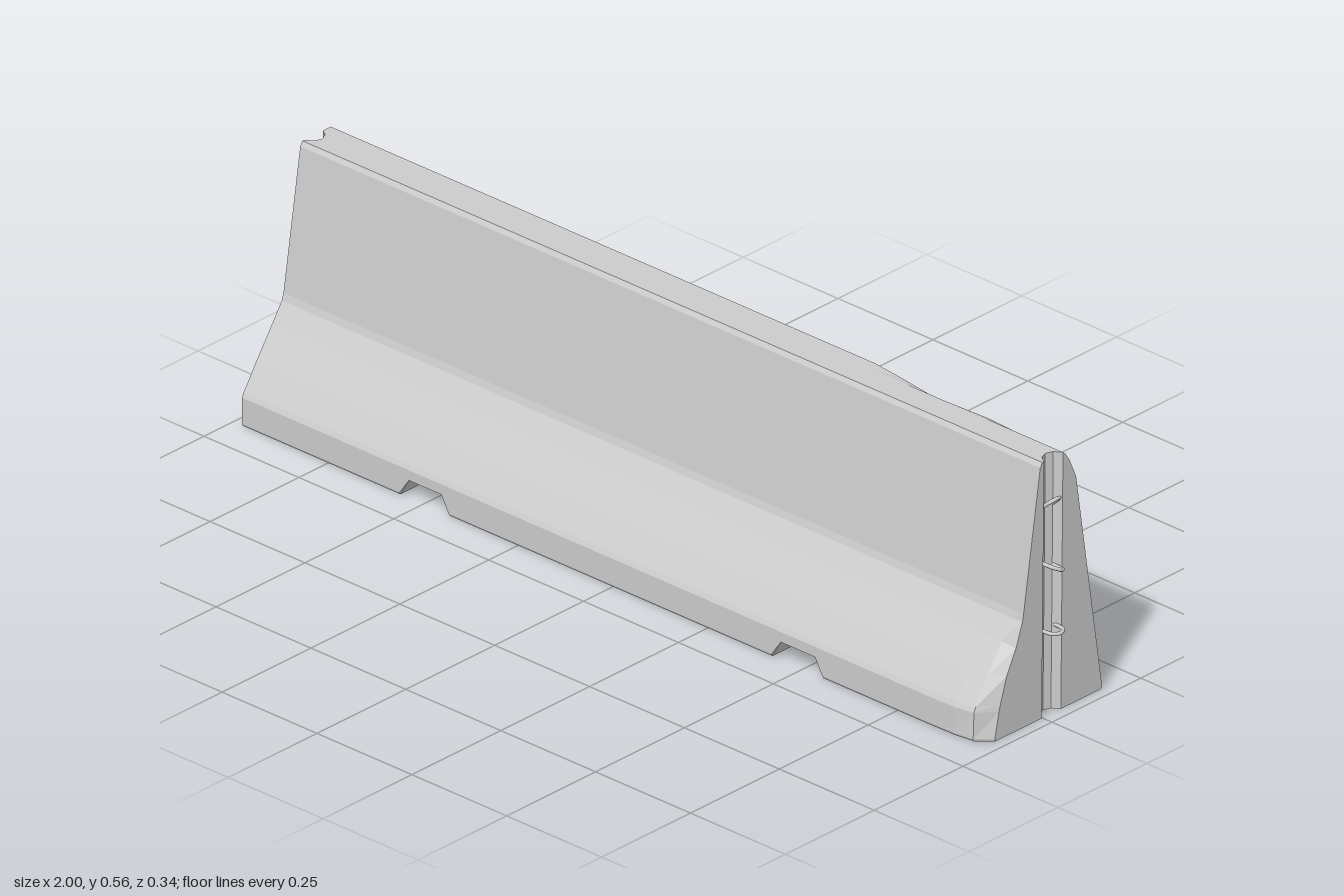
import * as THREE from 'three';

const END = 0.975;

// Piecewise-linear lookup through [x, value] pairs
function ramp(x, pts) {
  if (x <= pts[0][0]) return pts[0][1];
  for (let i = 1; i < pts.length; i++) {
    const [x0, v0] = pts[i - 1], [x1, v1] = pts[i];
    if (x <= x1) return v0 + (v1 - v0) * (x - x0) / (x1 - x0);
  }
  return pts[pts.length - 1][1];
}

// Cross-section points as [z, y]; the chipped versions are blended in near +x
const grooveT = [0, 0.2, 0.5, 0.8, 1];
const grooveDepth = [0, 0.016, 0.022, 0.016, 0];
const front = [[0.167, 0], [0.17, 0.005], [0.17, 0.062], [0.165, 0.072],
  [0.13, 0.125], [0.085, 0.19], [0.058, 0.23], [0.053, 0.245], [0.006, 0.545], [0, 0.555]];
const frontChipped = [[0.132, 0], [0.134, 0.005], [0.122, 0.06], [0.118, 0.075],
  [0.1, 0.13], [0.074, 0.18], [0.056, 0.23], [0.053, 0.245], [0.006, 0.545], [0, 0.555]];
const back = [[-0.08, 0.555], [-0.087, 0.546], [-0.0955, 0.49], [-0.168, 0.005], [-0.165, 0]];
const backChipped = [[-0.062, 0.547], [-0.074, 0.527], [-0.0945, 0.49], [-0.168, 0.005], [-0.165, 0]];
const NF = front.length, NG = grooveT.length;

// Drainage slots, corner chip and top-edge chip along the length
const slots = [[-0.56, 0], [-0.535, 0.04], [-0.45, 0.04], [-0.43, 0],
  [0.42, 0], [0.445, 0.04], [0.535, 0.04], [0.555, 0]];
const cornerChip = [[0.83, 0], [0.9, 0.04], [0.945, 0.2], [END, 1]];
const topChip = [[0.46, 0], [0.54, 0.35], [0.66, 1], [0.77, 0.6], [0.88, 0.85], [END, 0.8]];

const mix = (a, b, t) => a.map((p, i) => [p[0] + (b[i][0] - p[0]) * t, p[1] + (b[i][1] - p[1]) * t]);

// Closed ring: bottom groove points, front, top groove points, back
function section(x) {
  const lift = ramp(x, slots), end = Math.abs(x) === END;
  const bottomG = grooveT.map((t) => [0.002 - 0.054 * t, 0]).reverse();
  const topG = grooveT.map((t) => [-0.005 - 0.053 * t, 0.555]);
  const ring = [...bottomG, ...mix(front, frontChipped, ramp(x, cornerChip)),
    ...topG, ...mix(back, backChipped, ramp(x, topChip))];
  return ring.map(([z, y], i) => {
    let px = x;
    if (end && i < NG) px -= Math.sign(x) * grooveDepth[i];
    if (end && i >= NG + NF && i < 2 * NG + NF) px -= Math.sign(x) * grooveDepth[i - NG - NF];
    // Inside a slot the underside rises and the sloping back edge follows
    const rise = Math.max(0, lift - y);
    return [px, y + rise, z < -0.1 ? z + 0.15 * rise : z];
  });
}

function barrierGeometry() {
  const xs = [...new Set([-END, END, ...[...slots, ...cornerChip, ...topChip].map((p) => p[0])])]
    .sort((a, b) => a - b);
  const rings = xs.map(section), n = rings[0].length, pos = [];
  const tri = (a, b, c) => pos.push(...a, ...b, ...c);

  // Long sides
  for (let i = 0; i < rings.length - 1; i++) {
    const a = rings[i], b = rings[i + 1];
    for (let j = 0; j < n; j++) {
      const k = (j + 1) % n;
      tri(a[j], b[j], b[k]);
      tri(a[j], b[k], a[k]);
    }
  }

  // Ends: front panel, channel strips, back panel
  for (const [r, flip] of [[rings[0], true], [rings[rings.length - 1], false]]) {
    const cap = (a, b, c) => (flip ? tri(r[a], r[b], r[c]) : tri(r[a], r[c], r[b]));
    const t0 = NG + NF;
    for (let j = NG; j < t0; j++) cap(NG - 1, j, j + 1);
    for (let k = 0; k < NG - 1; k++) {
      cap(NG - 1 - k, t0 + k, t0 + k + 1);
      cap(NG - 1 - k, t0 + k + 1, NG - 2 - k);
    }
    for (let j = t0 + NG - 1; j < n - 1; j++) cap(0, j, j + 1);
  }

  const g = new THREE.BufferGeometry();
  g.setAttribute('position', new THREE.Float32BufferAttribute(pos, 3));
  g.computeVertexNormals();
  return g;
}

// U-shaped steel loop reaching out along +x
function loopGeometry() {
  const r = 0.0175, pts = [[-0.01, -r], [0.022, -r], [0.034, -r * 0.8],
    [0.042, 0], [0.034, r * 0.8], [0.022, r], [-0.01, r]];
  const curve = new THREE.CatmullRomCurve3(pts.map(([x, z]) => new THREE.Vector3(x, 0, z)));
  return new THREE.TubeGeometry(curve, 24, 0.004, 8, false);
}

export function createModel() {
  const model = new THREE.Group();
  model.name = 'roadBarrier';

  const body = new THREE.Mesh(barrierGeometry(),
    new THREE.MeshStandardMaterial({ color: 0xcccccc, flatShading: true }));
  body.name = 'concreteBody';
  model.add(body);

  // Connecting loops: side, height, upward bend, roll
  const geo = loopGeometry();
  const steel = new THREE.MeshStandardMaterial({ color: 0xcccccc, side: THREE.DoubleSide });
  const loops = [[1, 0.44, 0.75, 0], [1, 0.318, 0, -0.45], [1, 0.181, 0, 0],
    [-1, 0.447, 0.65, 0], [-1, 0.322, 0, 0], [-1, 0.142, 0, 0]];
  for (const [side, y, bend, roll] of loops) {
    const loop = new THREE.Mesh(geo, steel);
    loop.name = side > 0 ? 'leftEndLoop' : 'rightEndLoop';
    loop.position.set(side * 0.954, y, -0.03);
    loop.rotation.set(roll, side > 0 ? 0 : Math.PI, bend, 'YXZ');
    model.add(loop);
  }
  return model;
}
